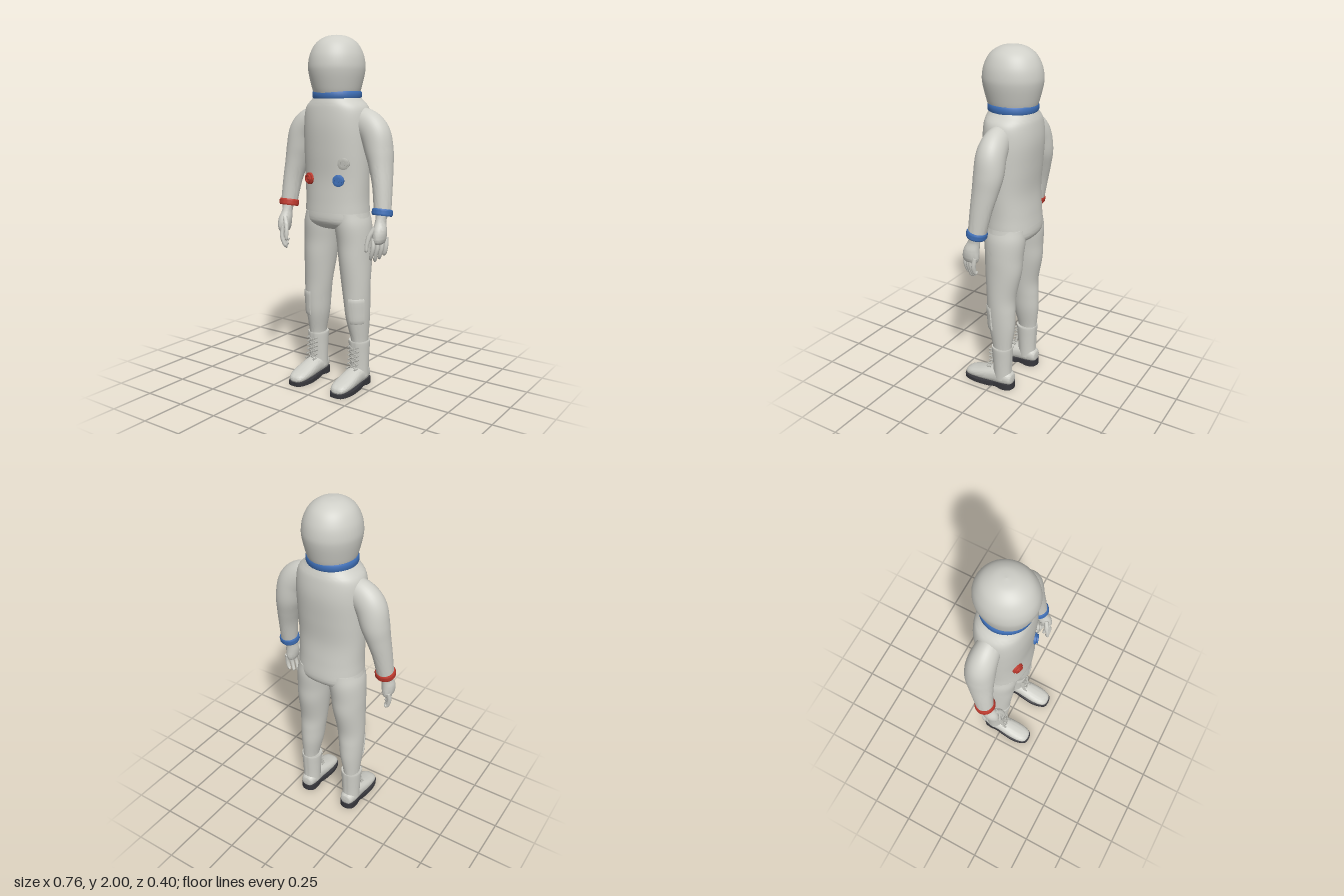
import * as THREE from 'three';
import { toCreasedNormals } from 'three/addons/utils/BufferGeometryUtils.js';

const V = (x, y, z) => new THREE.Vector3(x, y, z);
const mat = (name, color) => {
  const m = new THREE.MeshStandardMaterial({ color });
  m.name = name;
  return m;
};

// Skin elliptical rings along stations [x, y, z, halfU, halfW].
// axis fixes the ring direction; without it rings follow the path.
function loft(stations, { axis, steps = 6, seg = 40, power = 2, arc } = {}) {
  const path = new THREE.CatmullRomCurve3(stations.map(s => V(s[0], s[1], s[2])), false, 'catmullrom');
  const size = new THREE.CatmullRomCurve3(stations.map(s => V(s[3], s[4], 0)), false, 'catmullrom');
  const rows = (stations.length - 1) * steps;
  const cols = arc ? seg + 1 : seg;
  const bend = v => Math.sign(v) * Math.abs(v) ** (2 / power);
  const pos = [], idx = [];
  for (let i = 0; i <= rows; i++) {
    const p = path.getPoint(i / rows), r = size.getPoint(i / rows);
    const T = axis || path.getTangent(i / rows);
    const U = V().crossVectors(T, Math.abs(T.z) > 0.99 ? V(0, 1, 0) : V(0, 0, 1)).normalize();
    const W = V().crossVectors(T, U);
    for (let j = 0; j < cols; j++) {
      const a = arc ? arc[0] + (arc[1] - arc[0]) * j / seg : j / seg * Math.PI * 2;
      const sink = arc && (j === 0 || j === seg) ? 0.012 : 0;
      const v = p.clone().addScaledVector(U, bend(Math.cos(a)) * (r.x - sink))
        .addScaledVector(W, bend(Math.sin(a)) * (r.y - sink));
      pos.push(v.x, v.y, v.z);
    }
  }
  for (let i = 0; i < rows; i++) for (let j = 0; j < seg; j++) {
    const k = (j + 1) % cols, a = i * cols, b = a + cols;
    idx.push(a + j, a + k, b + j, a + k, b + k, b + j);
  }
  if (!arc) {
    const c = pos.length / 3, last = rows * cols;
    const p0 = path.getPoint(0), p1 = path.getPoint(1);
    pos.push(p0.x, p0.y, p0.z, p1.x, p1.y, p1.z);
    for (let j = 0; j < seg; j++) {
      const k = (j + 1) % seg;
      idx.push(c, k, j, c + 1, last + j, last + k);
    }
  }
  const g = new THREE.BufferGeometry();
  g.setAttribute('position', new THREE.Float32BufferAttribute(pos, 3));
  g.setIndex(idx);
  return toCreasedNormals(g, 0.9);
}

const lathe = (pts, seg = 48) =>
  toCreasedNormals(new THREE.LatheGeometry(pts.map(p => new THREE.Vector2(p[0], p[1])), seg), 0.6);

export function createModel() {
  const model = new THREE.Group();
  const suit = mat('suitGrey', 0xcfcfc8), blue = mat('blue', 0x3f70b8), red = mat('red', 0xbf3a2e);
  const dark = mat('soleDark', 0x38383d), lace = mat('laceGrey', 0xb8b8b1);
  const down = V(0, -1, 0), forward = V(0, 0, 1);
  const add = (name, geo, material, parent = model) => {
    const m = new THREE.Mesh(geo, material);
    m.name = name;
    parent.add(m);
    return m;
  };

  // Helmet and neck ring
  const dome = new THREE.SplineCurve([[0.124, 1.68], [0.135, 1.715], [0.152, 1.79], [0.155, 1.84], [0.143, 1.9],
    [0.112, 1.955], [0.06, 1.99], [0, 2]].map(p => new THREE.Vector2(...p))).getPoints(40);
  dome[40].x = 0;
  const helmet = add('helmet', new THREE.LatheGeometry(dome, 56), suit);
  helmet.scale.z = 1.08;
  helmet.position.z = -0.032;
  add('neckRing', lathe([[0.115, 1.655], [0.134, 1.655], [0.138, 1.662], [0.138, 1.688], [0.134, 1.695], [0.115, 1.695]]),
    blue).position.z = -0.034;

  // Jacket and pelvis
  add('jacket', loft([[0, 1.68, -0.035, 0.115, 0.115], [0, 1.65, -0.035, 0.142, 0.128], [0, 1.6, -0.038, 0.187, 0.142],
    [0, 1.5, -0.04, 0.2, 0.15], [0, 1.36, -0.038, 0.2, 0.142], [0, 1.22, -0.037, 0.196, 0.132],
    [0, 1.1, -0.04, 0.192, 0.138], [0, 1.025, -0.042, 0.194, 0.144]], { axis: down, power: 2.2, seg: 56 }), suit);
  add('pelvis', loft([[0, 1.06, -0.042, 0.185, 0.134], [0, 1.02, -0.042, 0.191, 0.141], [0, 0.975, -0.043, 0.197, 0.14],
    [0, 0.945, -0.045, 0.19, 0.12], [0, 0.925, -0.045, 0.12, 0.08], [0, 0.92, -0.045, 0.02, 0.02]],
    { axis: down, power: 2.2, seg: 56 }), suit);

  // Hose connectors on the chest
  const port = lathe([[0.02, -0.02], [0.02, 0.008], [0.033, 0.008], [0.033, 0.019], [0.025, 0.022], [0.025, 0.03],
    [0.016, 0.03], [0.016, 0.024], [0.009, 0.024], [0.009, 0.031], [0, 0.031]], 28);
  for (const [name, x, y, z, m] of [['redConnector', -0.1, 1.21, 0.072, red], ['blueConnector', 0.09, 1.21, 0.076, blue],
    ['greyConnector', 0.12, 1.305, 0.072, lace]]) {
    const c = add(name, port, m);
    c.position.set(x, y, z);
    c.quaternion.setFromUnitVectors(V(0, 1, 0), V(x * 3.6, 0, 1).normalize());
  }

  for (const s of [1, -1]) {
    const side = s > 0 ? 'left' : 'right';
    const flip = list => list.map(([x, ...rest]) => [x * s, ...rest]);

    // Sleeve, cuff and glove
    const arm = new THREE.Group();
    arm.name = side + 'Arm';
    model.add(arm);
    add('sleeve', loft(flip([[0.1, 1.535, -0.045, 0.07, 0.06], [0.18, 1.52, -0.045, 0.085, 0.07],
      [0.242, 1.467, -0.047, 0.087, 0.079], [0.272, 1.37, -0.047, 0.078, 0.082], [0.292, 1.28, -0.037, 0.064, 0.073],
      [0.31, 1.18, -0.022, 0.053, 0.062], [0.324, 1.045, -0.003, 0.047, 0.05]])), suit, arm);
    const cuff = add('cuff', lathe([[0.04, -0.019], [0.053, -0.019], [0.058, -0.01], [0.058, 0.01], [0.053, 0.019],
      [0.04, 0.019]], 36), s > 0 ? blue : red, arm);
    cuff.position.set(0.323 * s, 1.045, -0.002);
    cuff.rotation.x = -0.2;
    add('palm', loft(flip([[0.324, 1.045, 0, 0.036, 0.036], [0.324, 1.0, 0.015, 0.029, 0.035],
      [0.328, 0.95, 0.03, 0.036, 0.046], [0.33, 0.905, 0.034, 0.031, 0.05], [0.33, 0.88, 0.034, 0.02, 0.04],
      [0.33, 0.872, 0.034, 0.004, 0.01]]), { axis: down, seg: 24 }), suit, arm);
    for (let i = 0; i < 4; i++) {
      const x = 0.312 + i * 0.012, z = 0.072 - i * 0.025, tip = [0.79, 0.78, 0.79, 0.815][i];
      add('finger', loft(flip([[x, 0.91, z, 0.012, 0.012], [x + 0.004, 0.86, z + 0.007, 0.0125, 0.0125],
        [x - 0.006, 0.82, z + 0.006, 0.011, 0.011], [x - 0.016, tip + 0.005, z, 0.009, 0.009],
        [x - 0.019, tip, z - 0.001, 0.002, 0.002]]), { seg: 12, steps: 4 }), suit, arm);
    }
    add('thumb', loft(flip([[0.312, 0.965, 0.055, 0.014, 0.014], [0.288, 0.92, 0.072, 0.014, 0.014],
      [0.278, 0.87, 0.084, 0.011, 0.011], [0.277, 0.838, 0.086, 0.009, 0.009], [0.277, 0.832, 0.086, 0.002, 0.002]]),
      { seg: 12, steps: 4 }), suit, arm);

    // Trouser leg with a curved patch on the outer front of the knee
    const leg = new THREE.Group();
    leg.name = side + 'Leg';
    model.add(leg);
    add('trouserLeg', loft(flip([[0.1, 1.02, -0.043, 0.088, 0.12], [0.106, 0.95, -0.045, 0.1, 0.123],
      [0.115, 0.85, -0.046, 0.097, 0.113], [0.121, 0.75, -0.045, 0.091, 0.108], [0.131, 0.6, -0.037, 0.081, 0.087],
      [0.137, 0.5, -0.04, 0.073, 0.085], [0.141, 0.4, -0.045, 0.064, 0.08], [0.149, 0.28, -0.052, 0.047, 0.06],
      [0.149, 0.23, -0.052, 0.045, 0.058]]), { axis: down }), suit, leg);
    const arc = (s > 0 ? [18, 95] : [85, 162]).map(d => (d + 180) * Math.PI / 180);
    add('kneePatch', loft(flip([[0.135, 0.532, -0.039, 0.07, 0.08], [0.135, 0.53, -0.039, 0.081, 0.091],
      [0.139, 0.46, -0.042, 0.075, 0.089], [0.142, 0.392, -0.045, 0.069, 0.085], [0.142, 0.39, -0.045, 0.058, 0.074]]),
      { axis: down, arc, seg: 16, steps: 3 }), suit, leg);

    // Boot shaft and foot
    const boot = new THREE.Group();
    boot.name = side + 'Boot';
    boot.position.x = 0.147 * s;
    model.add(boot);
    add('bootShaft', loft([[0, 0.272, -0.052, 0.058, 0.06], [0, 0.267, -0.052, 0.062, 0.064], [0, 0.2, -0.053, 0.058, 0.06],
      [0, 0.13, -0.054, 0.055, 0.056], [0, 0.06, -0.055, 0.053, 0.056]], { axis: down }), suit, boot);
    add('bootFoot', loft([[0, 0.06, -0.124, 0.012, 0.01], [0, 0.064, -0.116, 0.036, 0.034], [0, 0.07, -0.07, 0.05, 0.048],
      [0, 0.068, -0.01, 0.051, 0.05], [0, 0.06, 0.05, 0.056, 0.043], [0, 0.05, 0.11, 0.057, 0.034],
      [0, 0.042, 0.16, 0.05, 0.026], [0, 0.036, 0.186, 0.034, 0.017], [0, 0.032, 0.194, 0.01, 0.006]],
      { axis: forward, power: 2.4 }), suit, boot);

    // Sole, thicker at the heel and slightly arched
    const half = [[0, 0.2], [0.036, 0.192], [0.055, 0.155], [0.063, 0.1], [0.058, 0.04], [0.051, -0.02],
      [0.051, -0.07], [0.04, -0.113], [0, -0.129]];
    const outline = [...half, ...half.slice(1, -1).reverse().map(([x, z]) => [-x, z])];
    const loop = new THREE.CatmullRomCurve3(outline.map(([x, z]) => V(x, -z, 0)), true).getPoints(64).slice(0, 64);
    const shape = new THREE.Shape(loop.map(p => new THREE.Vector2(p.x, p.y)));
    const sole = new THREE.ExtrudeGeometry(shape, { depth: 1, bevelEnabled: false, steps: 1 }).rotateX(-Math.PI / 2);
    const p = sole.attributes.position;
    for (let i = 0; i < p.count; i++) {
      const z = p.getZ(i), rise = THREE.MathUtils.smoothstep(-z, -0.08, 0.06);
      const arch = 0.01 * Math.exp(-(((z + 0.03) / 0.025) ** 2));
      p.setY(i, p.getY(i) > 0.5 ? 0.022 + 0.016 * rise : arch);
    }
    add('sole', toCreasedNormals(sole, 0.6), dark, boot);

    // Crossed laces and their hooks
    const rows = 6, dy = 0.025;
    const lacePoint = (x, i, out) => V(x, 0.118 + i * dy, 0.008 + out + 0.018 * Math.max(0, 1 - i / 1.5));
    for (let i = 0; i < rows; i++) for (const k of [1, -1]) {
      if (i < rows - 1) {
        const cross = new THREE.CatmullRomCurve3([lacePoint(-0.028 * k, i, 0), lacePoint(0, i + 0.5, 0.011 + 0.003 * k),
          lacePoint(0.028 * k, i + 1, 0)]);
        add('lace', new THREE.TubeGeometry(cross, 10, 0.0032, 6), lace, boot);
      }
      const hook = add('laceHook', new THREE.CylinderGeometry(0.005, 0.005, 0.026, 8), lace, boot);
      hook.position.copy(lacePoint(0.028 * k, i, 0.003));
      hook.rotation.x = Math.PI / 2;
    }
  }
  return model;
}
